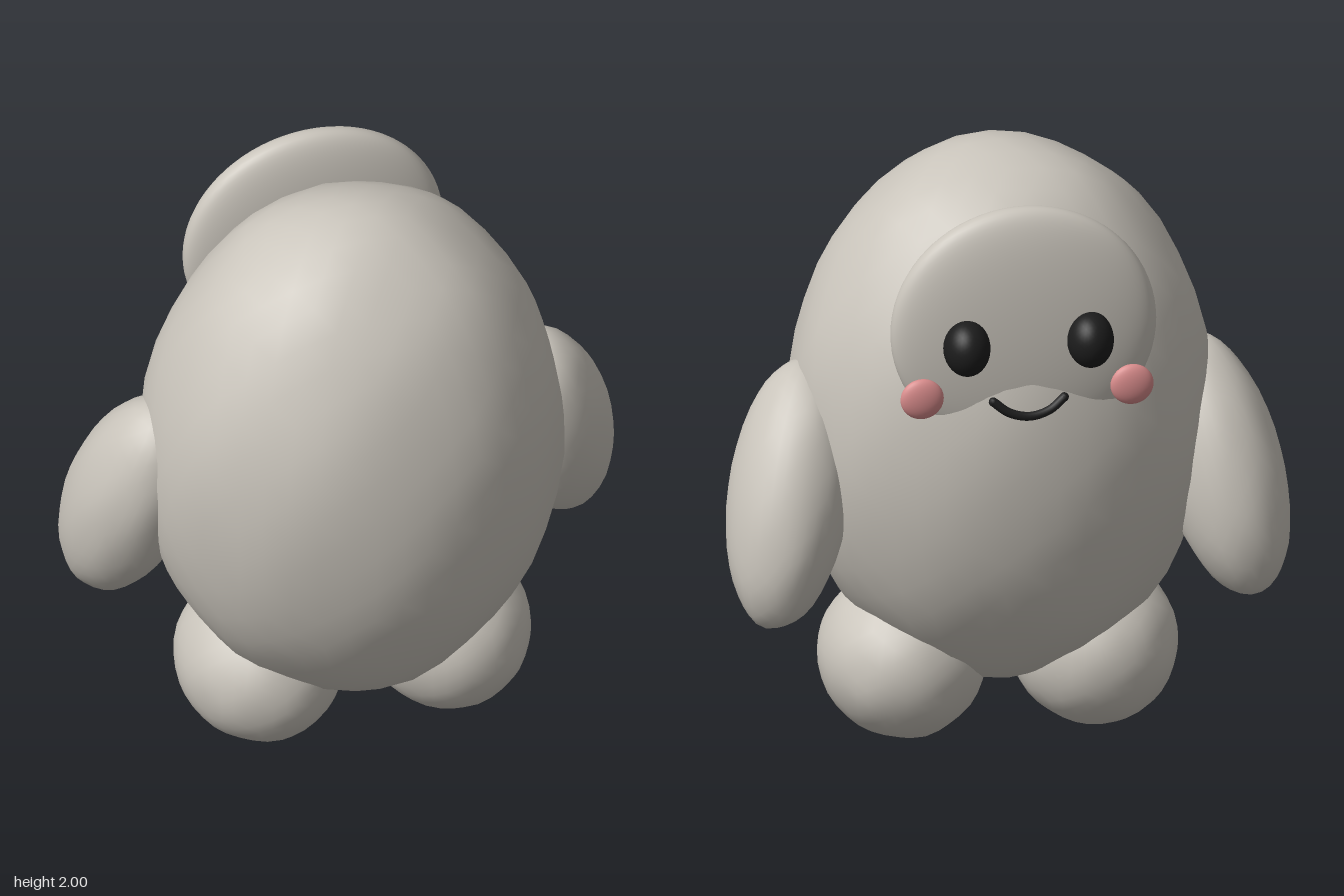
import * as THREE from 'three';
import { mergeVertices } from 'three/addons/utils/BufferGeometryUtils.js';

const flat = (name, color) => {
  const m = new THREE.MeshStandardMaterial({ color });
  m.name = name;
  return m;
};

// Smooth ellipsoid with optional hand-moulded lumps; boxy < 1 flattens the z faces
function blob(radii, { detail = 6, lump = 0, seed = 0, boxy = 1 } = {}) {
  let geo = new THREE.IcosahedronGeometry(1, detail);
  geo.deleteAttribute('uv');
  geo.deleteAttribute('normal');
  geo = mergeVertices(geo, 1e-4);
  const pos = geo.attributes.position;
  const v = new THREE.Vector3();
  for (let i = 0; i < pos.count; i++) {
    v.fromBufferAttribute(pos, i);
    const k = 1 + lump * Math.sin(7 * v.x + seed) * Math.sin(6 * v.y + 2 * seed + 1) * Math.cos(8 * v.z - seed);
    v.z = Math.sign(v.z) * Math.pow(Math.abs(v.z), boxy);
    v.multiplyScalar(k);
    pos.setXYZ(i, v.x * radii[0], v.y * radii[1], v.z * radii[2]);
  }
  geo.computeVertexNormals();
  return geo;
}

export function createModel() {
  const model = new THREE.Group();
  model.name = 'roundCreature';
  const clay = flat('warmGreyClay', 0xc9c4bb);
  const black = flat('black', 0x1c1c1c);
  const pink = flat('blushPink', 0xd98c8c);

  const add = (name, geo, mat, x, y, z, rx = 0, ry = 0, rz = 0) => {
    const mesh = new THREE.Mesh(geo, mat);
    mesh.name = name;
    mesh.position.set(x, y, z);
    mesh.rotation.set(rx, ry, rz);
    model.add(mesh);
  };

  // Egg-shaped body and the face disc set into its -z side
  add('body', blob([0.685, 0.91, 0.585], { detail: 7, lump: 0.014, seed: 1 }), clay, -0.01, 1.09, 0.03);
  add('faceDisc', blob([0.43, 0.41, 0.095], { detail: 12, boxy: 0.82 }), clay, 0, 1.55, -0.44);

  // Paired limbs and facial features
  for (const side of [1, -1]) {
    const label = side > 0 ? 'left' : 'right';
    add(label + 'Arm', blob([0.195, 0.435, 0.225], { lump: 0.012, seed: 2 + side }),
      clay, side * 0.7, 0.9, -0.13, 0.36, 0, side * 0.2);
    add(label + 'Foot', blob([0.27, 0.27, 0.305], { lump: 0.015, seed: 5 + side }),
      clay, side * 0.31, 0.272, 0);
    add(label + 'Eye', blob([0.075, 0.092, 0.09]), black, side * 0.2, 1.525, -0.53);
    add(label + 'Cheek', blob([0.07, 0.068, 0.028]), pink, side * 0.34, 1.35, -0.505);
  }

  // Smile
  const smile = new THREE.CatmullRomCurve3([
    new THREE.Vector3(-0.115, 1.335, -0.535),
    new THREE.Vector3(-0.065, 1.298, -0.545),
    new THREE.Vector3(0, 1.283, -0.55),
    new THREE.Vector3(0.065, 1.298, -0.545),
    new THREE.Vector3(0.115, 1.335, -0.535),
  ]);
  add('smile', new THREE.TubeGeometry(smile, 24, 0.015, 8), black, 0, 0, 0);
  for (const side of [1, -1]) {
    add('smileEnd', new THREE.SphereGeometry(0.015, 10, 8), black, side * 0.115, 1.335, -0.535);
  }
  return model;
}
